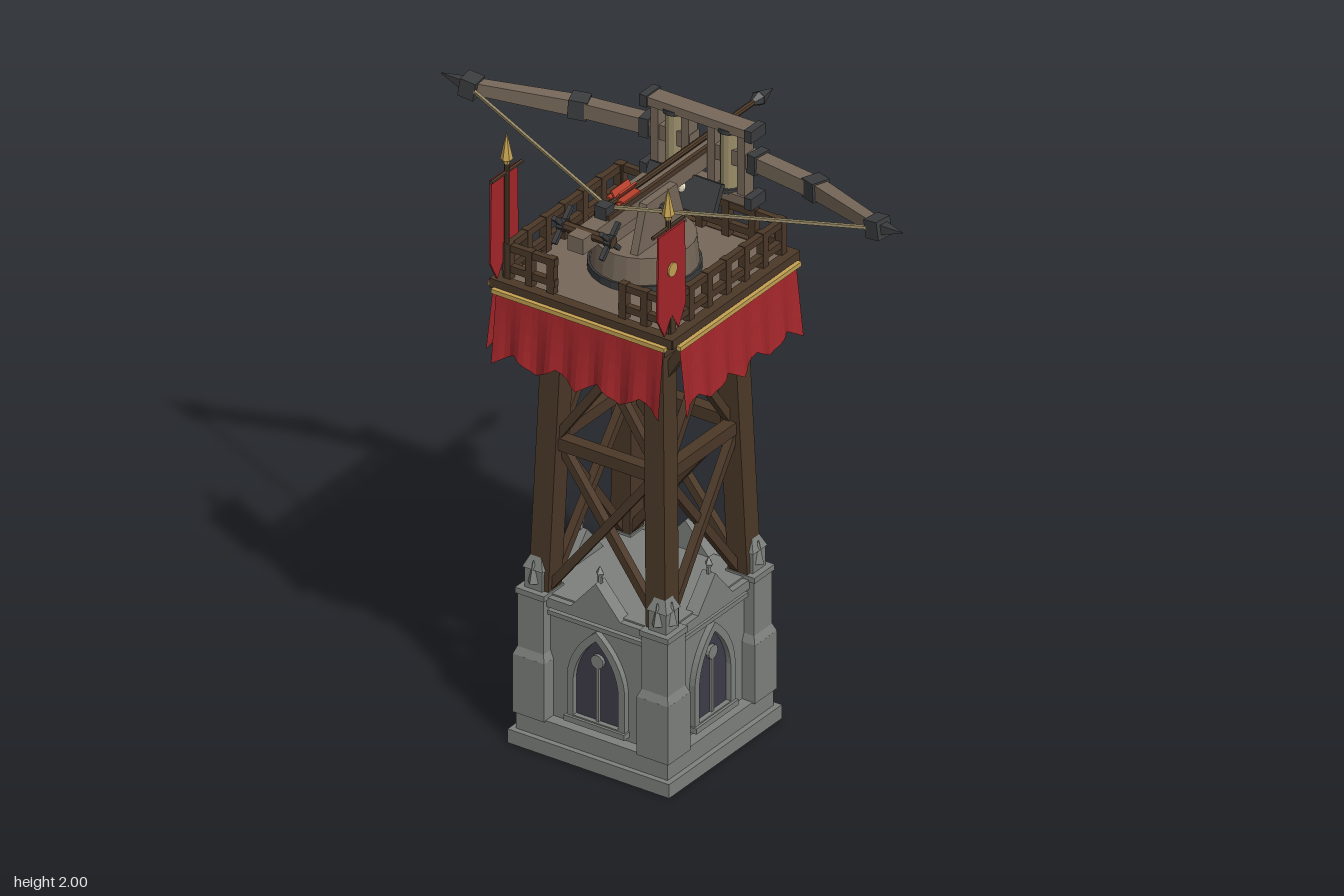
import * as THREE from 'three';

const mat = (color, side = THREE.FrontSide) => new THREE.MeshStandardMaterial({ color, side, flatShading: true });
const stone = mat(0x7d807c), glass = mat(0x3e3c49), timber = mat(0x4b3828), plank = mat(0x766859),
  iron = mat(0x3b3c3e), gold = mat(0xc4a152), rope = mat(0x9b8d6a), bone = mat(0xd9d0b4),
  red = mat(0xa3262a, THREE.DoubleSide), fletch = mat(0xb8402c);
const CZ = 0.135, Q = Math.PI / 2; // tower axis in z, quarter turn
const V = (x, y, z) => new THREE.Vector3(x, y, z);

function add(parent, name, geo, material, x = 0, y = 0, z = 0) {
  const m = new THREE.Mesh(geo, material);
  m.name = name;
  m.position.set(x, y, z);
  parent.add(m);
  return m;
}
const box = (p, name, m, w, h, d, x, y, z) => add(p, name, new THREE.BoxGeometry(w, h, d), m, x, y, z);
const cyl = (p, name, m, r0, r1, h, n, x, y, z) => add(p, name, new THREE.CylinderGeometry(r0, r1, h, n), m, x, y, z);
const poly = (...pts) => new THREE.Shape(pts.map(q => new THREE.Vector2(...q)));
const extrude = (shape, depth) => new THREE.ExtrudeGeometry(shape, { depth, bevelEnabled: false, curveSegments: 8 });

// Square or tapered bar between two points
function bar(p, name, m, a, b, w, h = w, taper = 1) {
  const len = a.distanceTo(b), geo = new THREE.BoxGeometry(w, h, len), pos = geo.attributes.position;
  for (let i = 0; i < pos.count; i++)
    if (pos.getZ(i) > 0) pos.setXY(i, pos.getX(i) * taper, pos.getY(i) * taper);
  geo.computeVertexNormals();
  const up = Math.abs(b.y - a.y) > 0.8 * len ? V(0, 0, 1) : V(0, 1, 0);
  const mesh = add(p, name, geo, m, ...a.clone().lerp(b, 0.5).toArray());
  mesh.quaternion.setFromRotationMatrix(new THREE.Matrix4().lookAt(b, a, up));
}

function group(parent, name, rotY = 0) {
  const g = new THREE.Group();
  g.name = name;
  g.rotation.y = rotY;
  parent.add(g);
  return g;
}

// Pointed arch outline standing on y0
function arch(w, y0, spring, top, Type = THREE.Shape) {
  const s = new Type(), bulge = (spring + top) / 2 + 0.01;
  s.moveTo(-w, y0).lineTo(w, y0).lineTo(w, spring);
  s.quadraticCurveTo(w * 0.9, bulge, 0, top).quadraticCurveTo(-w * 0.9, bulge, -w, spring);
  return s;
}

function skull(parent, x, y, z, r) {
  const g = group(parent, 'skull', Math.PI);
  g.position.set(x, y, z);
  add(g, 'cranium', new THREE.SphereGeometry(r, 12, 9), bone);
  box(g, 'jaw', bone, r * 1.1, r * 0.8, r * 0.9, 0, -r * 0.95, r * 0.35);
  for (const s of [-1, 1]) add(g, 'eyeSocket', new THREE.SphereGeometry(r * 0.27, 8, 6), iron, s * r * 0.4, -r * 0.15, r * 0.82);
}

function stoneBase(tower) {
  const base = group(tower, 'stoneBase');
  box(base, 'plinth', stone, 0.56, 0.045, 0.56, 0, 0.0225, 0);
  box(base, 'plinthStep', stone, 0.525, 0.06, 0.525, 0, 0.073, 0);
  box(base, 'wall', stone, 0.45, 0.4, 0.45, 0, 0.3, 0);
  for (let i = 0; i < 4; i++) {
    const f = group(base, 'wallFace', i * Q);
    box(f, 'cornice', stone, 0.36, 0.03, 0.03, 0, 0.48, 0.23);
    box(f, 'corniceMoulding', stone, 0.36, 0.014, 0.02, 0, 0.445, 0.23);
    // Window
    add(f, 'windowPane', extrude(arch(0.08, 0.13, 0.26, 0.41), 0.004), glass, 0, 0, 0.224);
    const ring = arch(0.1, 0.125, 0.27, 0.435);
    ring.holes.push(arch(0.078, 0.14, 0.26, 0.405, THREE.Path));
    add(f, 'windowFrame', extrude(ring, 0.022), stone, 0, 0, 0.222);
    box(f, 'windowSill', stone, 0.21, 0.018, 0.035, 0, 0.127, 0.235);
    if (i !== 2) {
      box(f, 'mullion', stone, 0.01, 0.2, 0.01, 0, 0.235, 0.231);
      cyl(f, 'roundel', stone, 0.022, 0.022, 0.012, 12, 0, 0.335, 0.232).rotation.x = Q;
    }
    // Gable and finial
    add(f, 'gable', extrude(poly([-0.09, 0.49], [0.09, 0.49], [0, 0.595]), 0.045), stone, 0, 0, 0.2);
    cyl(f, 'gableFinialStem', stone, 0.006, 0.008, 0.03, 6, 0, 0.603, 0.222);
    add(f, 'gableFinial', new THREE.OctahedronGeometry(0.014).scale(1, 1.7, 1), stone, 0, 0.62, 0.222);
    // Corner buttress
    const c = group(f, 'buttress');
    c.position.set(0.215, 0, 0.215);
    box(c, 'buttressLower', stone, 0.11, 0.19, 0.11, 0, 0.195, 0);
    cyl(c, 'buttressSlope', stone, 0.0636, 0.0778, 0.025, 4, 0, 0.302, 0).rotation.y = Q / 2;
    box(c, 'buttressUpper', stone, 0.09, 0.2, 0.09, 0, 0.4, 0);
    box(c, 'buttressCap', stone, 0.1, 0.018, 0.1, 0, 0.498, 0);
    box(c, 'pinnacleShaft', stone, 0.062, 0.07, 0.062, 0, 0.54, 0);
    cyl(c, 'pinnacleSpire', stone, 0.004, 0.05, 0.075, 4, 0, 0.61, 0).rotation.y = Q / 2;
    add(c, 'pinnacleFinial', new THREE.OctahedronGeometry(0.011).scale(1, 1.6, 1), stone, 0, 0.65, 0);
    for (const [x, z] of [[0.029, 0], [0, 0.029]]) cyl(c, 'pinnacleGablet', stone, 0.002, 0.02, 0.07, 4, x, 0.565, z);
  }
  skull(base, 0, 0.215, -0.245, 0.034);
}

function timberFrame(tower) {
  const frame = group(tower, 'timberFrame');
  for (let i = 0; i < 4; i++) {
    const f = group(frame, 'frameSide', i * Q);
    bar(f, 'leg', timber, V(0.205, 0.45, 0.205), V(0.172, 1.48, 0.172), 0.068);
    box(f, 'crossBeam', timber, 0.34, 0.04, 0.04, 0, 0.985, 0.19);
    box(f, 'topBeam', timber, 0.4, 0.04, 0.04, 0, 1.44, 0.175);
    for (const s of [-1, 1]) {
      const o = s * 0.008;
      bar(f, 'lowerBrace', timber, V(-s * 0.185, 0.51, 0.2 + o), V(s * 0.175, 0.98, 0.185 + o), 0.026);
      bar(f, 'upperBrace', timber, V(-s * 0.175, 0.99, 0.185 + o), V(s * 0.165, 1.47, 0.172 + o), 0.026);
      bar(f, 'kneeBrace', timber, V(s * 0.17, 1.29, 0.18), V(s * 0.17, 1.47, 0.29), 0.03);
    }
  }
  for (let k = -2; k <= 2; k++) box(frame, 'joist', timber, 0.035, 0.04, 0.6, k * 0.13, 1.47, 0);
}

function platform(tower) {
  const p = group(tower, 'platform');
  box(p, 'deck', plank, 0.6, 0.035, 0.6, 0, 1.507, 0);
  for (let i = 0; i < 4; i++) {
    const f = group(p, 'platformSide', i * Q);
    box(f, 'rim', timber, 0.63, 0.03, 0.035, 0, 1.512, 0.3);
    box(f, 'goldTrim', gold, 0.6, 0.014, 0.014, 0, 1.497, 0.327);
    // Flared, rippled hanging with a jagged hem
    const geo = new THREE.PlaneGeometry(0.58, 1, 32, 4), pos = geo.attributes.position;
    for (let k = 0; k < pos.count; k++) {
      const x = pos.getX(k), t = 0.5 - pos.getY(k), phase = ((x + 0.29) / 0.145) % 1;
      const drop = 0.185 + 0.045 * Math.abs(2 * phase - 1);
      pos.setXYZ(k, x, 1.5 - t * drop, 0.322 + t * (0.018 + 0.008 * Math.cos(x * 65)));
    }
    geo.computeVertexNormals();
    add(f, 'clothHanging', geo, red);
    // Railing, open at the front for the winch
    for (const [a, b] of i === 0 ? [[-0.29, -0.11], [0.11, 0.29]] : [[-0.29, 0.29]]) {
      for (const y of [1.56, 1.627]) box(f, 'rail', timber, b - a, 0.022, 0.02, (a + b) / 2, y, 0.28);
      const n = i === 0 ? 2 : 6;
      for (let k = 0; k <= n; k++)
        box(f, 'railPost', timber, 0.024, 0.12, 0.024, a + 0.015 + (b - a - 0.03) * k / n, 1.58, 0.28);
    }
  }
  // Banners
  for (const s of [-1, 1]) {
    const b = group(p, 'banner');
    b.position.set(s * 0.28, 0, 0.285);
    cyl(b, 'bannerPole', timber, 0.008, 0.008, 0.42, 8, 0, 1.71, 0);
    cyl(b, 'bannerCrossbar', timber, 0.006, 0.006, 0.155, 6, 0, 1.872, 0).rotation.x = Q;
    const cloth = poly([-0.065, 1.87], [0.065, 1.87], [0.07, 1.6], [0.035, 1.535], [0, 1.59], [-0.035, 1.535], [-0.07, 1.6]);
    add(b, 'bannerCloth', extrude(cloth, 0.006), red, s * 0.01 - 0.003).rotation.y = Q;
    cyl(b, 'bannerDisc', gold, 0.022, 0.022, 0.01, 12, s * 0.013, 1.74, 0).rotation.z = Q;
    cyl(b, 'finialCollar', gold, 0.014, 0.01, 0.02, 8, 0, 1.91, 0);
    cyl(b, 'finialSpike', gold, 0.001, 0.019, 0.085, 6, 0, 1.9575, 0);
  }
  cyl(p, 'turntableRing', iron, 0.165, 0.165, 0.025, 24, 0, 1.535, 0);
  cyl(p, 'turntable', plank, 0.15, 0.16, 0.1, 24, 0, 1.58, 0);
}

function ballista(root) {
  const g = group(root, 'ballista');
  // Stock and bolt
  cyl(g, 'pivot', iron, 0.017, 0.017, 0.15, 10, 0, 1.73, CZ).rotation.z = Q;
  box(g, 'stock', plank, 0.055, 0.05, 0.78, 0, 1.752, 0.09);
  box(g, 'stockBand', iron, 0.068, 0.06, 0.035, 0, 1.752, -0.285);
  box(g, 'trigger', iron, 0.04, 0.045, 0.04, 0, 1.795, 0.335);
  cyl(g, 'boltShaft', timber, 0.009, 0.009, 0.74, 8, 0, 1.805, -0.06).rotation.x = Q;
  cyl(g, 'boltHead', iron, 0.001, 0.024, 0.07, 6, 0, 1.805, -0.465).rotation.x = -Q;
  cyl(g, 'boltSocket', iron, 0.022, 0.01, 0.03, 6, 0, 1.805, -0.415).rotation.x = -Q;
  for (let k = 0; k < 3; k++) box(g, 'fletching', fletch, 0.06, 0.006, 0.085, 0, 1.805, 0.24).rotation.z = k * Math.PI / 3;
  for (const y of [1.885, 1.665]) box(g, 'framePlate', plank, 0.36, 0.028, 0.06, 0, y, -0.15);
  const cheek = poly([-0.125, 1.62], [0.125, 1.62], [0.075, 1.775], [-0.075, 1.775]);
  for (const s of [-1, 1]) {
    add(g, 'cradleCheek', extrude(cheek, 0.025), plank, s * 0.047 - 0.0125, 0, CZ).rotation.y = Q;
    box(g, 'stockRail', timber, 0.012, 0.02, 0.66, s * 0.02, 1.782, 0.02);
    // Spring frame
    for (const y of [1.885, 1.665]) box(g, 'framePlateCap', iron, 0.025, 0.038, 0.07, s * 0.182, y, -0.15);
    for (const x of [0.15, 0.045]) box(g, 'framePost', plank, 0.026, 0.2, 0.045, s * x, 1.775, -0.15);
    cyl(g, 'ropeSpring', rope, 0.028, 0.028, 0.2, 12, s * 0.095, 1.775, -0.15);
    for (const y of [1.872, 1.68]) cyl(g, 'springWasher', iron, 0.036, 0.036, 0.014, 12, s * 0.095, y, -0.15);
    // Bow arm
    const arm = group(g, 'bowArm');
    const pts = [V(s * 0.03, 1.79, -0.155), V(s * 0.19, 1.79, -0.155), V(s * 0.41, 1.788, -0.128), V(s * 0.705, 1.812, -0.012), V(s * 0.8, 1.828, 0)];
    bar(arm, 'armRoot', plank, pts[0], pts[1], 0.048);
    bar(arm, 'armInner', plank, pts[1], pts[2], 0.048);
    bar(arm, 'armOuter', plank, pts[2], pts[3], 0.046, 0.05, 0.75);
    bar(arm, 'armTip', iron, pts[3], pts[4], 0.04, 0.04, 0.05);
    [0.03, 0.056, 0.05].forEach((w, k) => {
      const joint = pts[k + 1], half = pts[k + 2].clone().sub(joint).setLength(w / 2);
      bar(arm, 'armBand', iron, joint.clone().sub(half), joint.clone().add(half), 0.062 - 0.002 * k);
    });
    bar(g, 'bowString', rope, V(s * 0.7, 1.812, 0), V(0, 1.802, 0.32), 0.009);
    // Winch wheel
    for (const a of [Q / 2, Q * 1.5]) box(g, 'winchSpoke', iron, 0.014, 0.12, 0.014, s * 0.082, 1.765, 0.425).rotation.x = a;
    cyl(g, 'winchHub', iron, 0.02, 0.02, 0.022, 8, s * 0.082, 1.765, 0.425).rotation.z = Q;
  }
  cyl(g, 'winchDrum', timber, 0.016, 0.016, 0.19, 8, 0, 1.765, 0.425).rotation.z = Q;
  // Leaning guard board with a skull
  bar(g, 'guardBoard', iron, V(0, 1.64, -0.03), V(0, 1.73, -0.075), 0.25, 0.022);
  skull(g, 0, 1.688, -0.062, 0.024);
}

export function createModel() {
  const root = new THREE.Group();
  root.name = 'siegeTower';
  const tower = group(root, 'tower');
  tower.position.z = CZ;
  stoneBase(tower);
  timberFrame(tower);
  platform(tower);
  ballista(root);
  return root;
}
